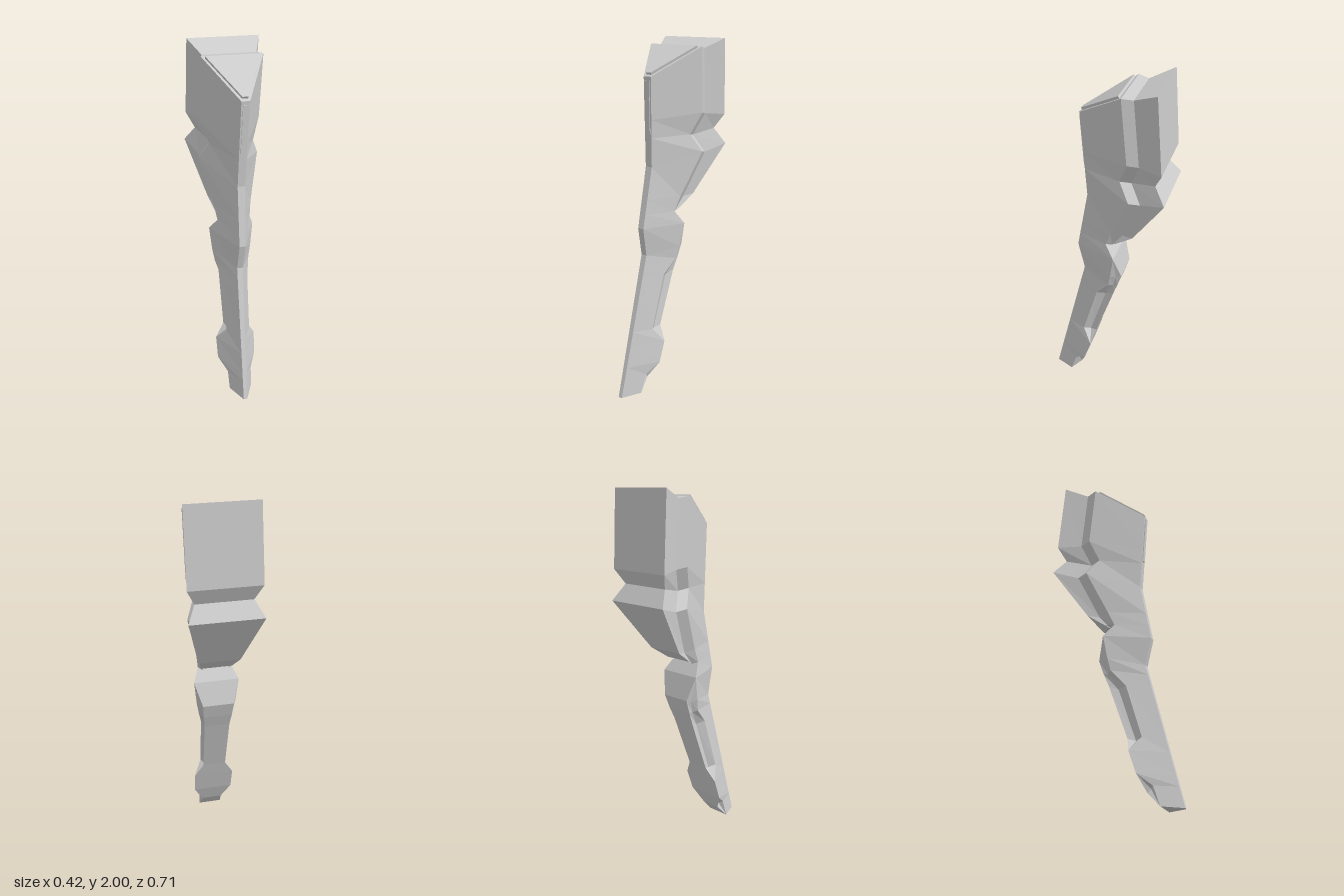
import * as THREE from 'three';

// Front ridge path, [y, z] from top to bottom
const RIDGE = [[1.79, .155], [1.3, .125], [.96, .19], [.8, .155], [0, .36]];

// Stations down the leg: height on the ridge, rear edge of the shell [z, y, half width],
// rear edge of the spine [z, y, half width]. Without a spine the shell closes on itself.
const STATIONS = [
  [1.79, [-.11, 1.95, .17], [-.30, 1.995, .202]],
  [1.56, [-.14, 1.59, .17], [-.33, 1.57, .202]],
  [1.46, [-.09, 1.47, .125], [-.29, 1.49, .158]],
  [1.30, [-.15, 1.37, .172], [-.35, 1.40, .205]],
  [1.12, [-.036, 1.12, .108], [-.16, 1.12, .115]],
  [1.04, [0, 1.04, .095], [-.06, 1.05, .09]],
  [1.04, [0, 1.04, .095]],
  [.96, [-.053, .965, .13]],
  [.80, [-.03, .83, .115], [-.09, .83, .09]],
  [.74, [-.015, .76, .102], [-.063, .75, .083]],
  [.67, [.065, .67, .075], [-.035, .68, .074]],
  [.37, [.155, .37, .07], [.075, .37, .068]],
  [.29, [.10, .29, .118]],
  [.17, [.14, .17, .115]],
  [.11, [.215, .11, .072], [.18, .08, .06]],
  [0, [.25, .005, .067]],
];

// Point on the ridge, which tapers towards the foot
function ridgePoint(y) {
  const i = RIDGE.findIndex(([low], n) => n > 0 && y >= low);
  const [y0, z0] = RIDGE[i - 1], [y1, z1] = RIDGE[i];
  return [THREE.MathUtils.mapLinear(y, y0, y1, z0, z1), y, .011 + .007 * y];
}

// Groove floor, tucked in behind the shell edge
function groovePoint([z, y, w], spine) {
  return [z - Math.min(.06, (z - spine[0]) * .5), y - .01, w - .02];
}

// Mirrored loop of eight corners, counter-clockwise from above
function ring([y, shell, spine]) {
  const side = spine
    ? [ridgePoint(y), shell, groovePoint(shell, spine), spine]
    : [ridgePoint(y), shell, shell, shell];
  const left = side.map(([z, h, w]) => new THREE.Vector3(w, h, z));
  const right = side.map(([z, h, w]) => new THREE.Vector3(-w, h, z)).reverse();
  return [...left, ...right];
}

// Flat-faced geometry from quads, dropping collapsed triangles
function fromQuads(quads) {
  const points = [];
  for (const [a, b, c, d] of quads) {
    for (const t of [[a, b, c], [a, c, d]]) {
      if (new THREE.Triangle(...t).getArea() > 1e-7) points.push(...t);
    }
  }
  const geo = new THREE.BufferGeometry().setFromPoints(points);
  geo.computeVertexNormals();
  return geo;
}

function legGeometry() {
  const rings = STATIONS.map(ring);
  const quads = [];
  for (let i = 0; i < rings.length - 1; i++) {
    const up = rings[i], low = rings[i + 1];
    for (let j = 0; j < 8; j++) {
      const k = (j + 1) % 8;
      quads.push([up[j], low[j], low[k], up[k]]);
    }
  }
  // end caps
  const top = rings[0], bottom = rings[rings.length - 1];
  for (let j = 0; j < 3; j++) {
    quads.push([top[j], top[j + 1], top[6 - j], top[7 - j]]);
    quads.push([bottom[7 - j], bottom[6 - j], bottom[j + 1], bottom[j]]);
  }
  return fromQuads(quads);
}

// Raised plate: a counter-clockwise outline pushed out along its normal
function plateGeometry(corners, height) {
  const base = corners.map(c => new THREE.Vector3(...c));
  const normal = new THREE.Triangle(...base.slice(0, 3)).getNormal(new THREE.Vector3());
  const face = base.map(p => p.clone().addScaledVector(normal, height));
  const quads = [face];
  for (let j = 0; j < 4; j++) {
    const k = (j + 1) % 4;
    quads.push([base[j], base[k], face[k], face[j]]);
  }
  return fromQuads(quads);
}

export function createModel() {
  const grey = new THREE.MeshStandardMaterial({ color: 0xcccccc, flatShading: true });
  grey.name = 'light grey';
  const body = new THREE.Group();
  body.name = 'legBody';
  const add = (name, geo) => {
    const mesh = new THREE.Mesh(geo, grey);
    mesh.name = name;
    body.add(mesh);
  };

  add('leg', legGeometry());
  add('topPlate', plateGeometry(
    [[.016, 1.799, .14], [.15, 1.942, -.097], [-.15, 1.942, -.097], [-.016, 1.799, .14]], .014));
  add('frontStrip', plateGeometry(
    [[-.014, 1.48, .136], [.014, 1.48, .136], [.014, 1.77, .1538], [-.014, 1.77, .1538]], .005));

  // slight lean and twist of the whole leg
  body.rotation.set(0, -.025, -.03);
  body.position.set(-.058, 0, -.003);

  const model = new THREE.Group();
  model.name = 'armouredLeg';
  model.add(body);
  return model;
}
